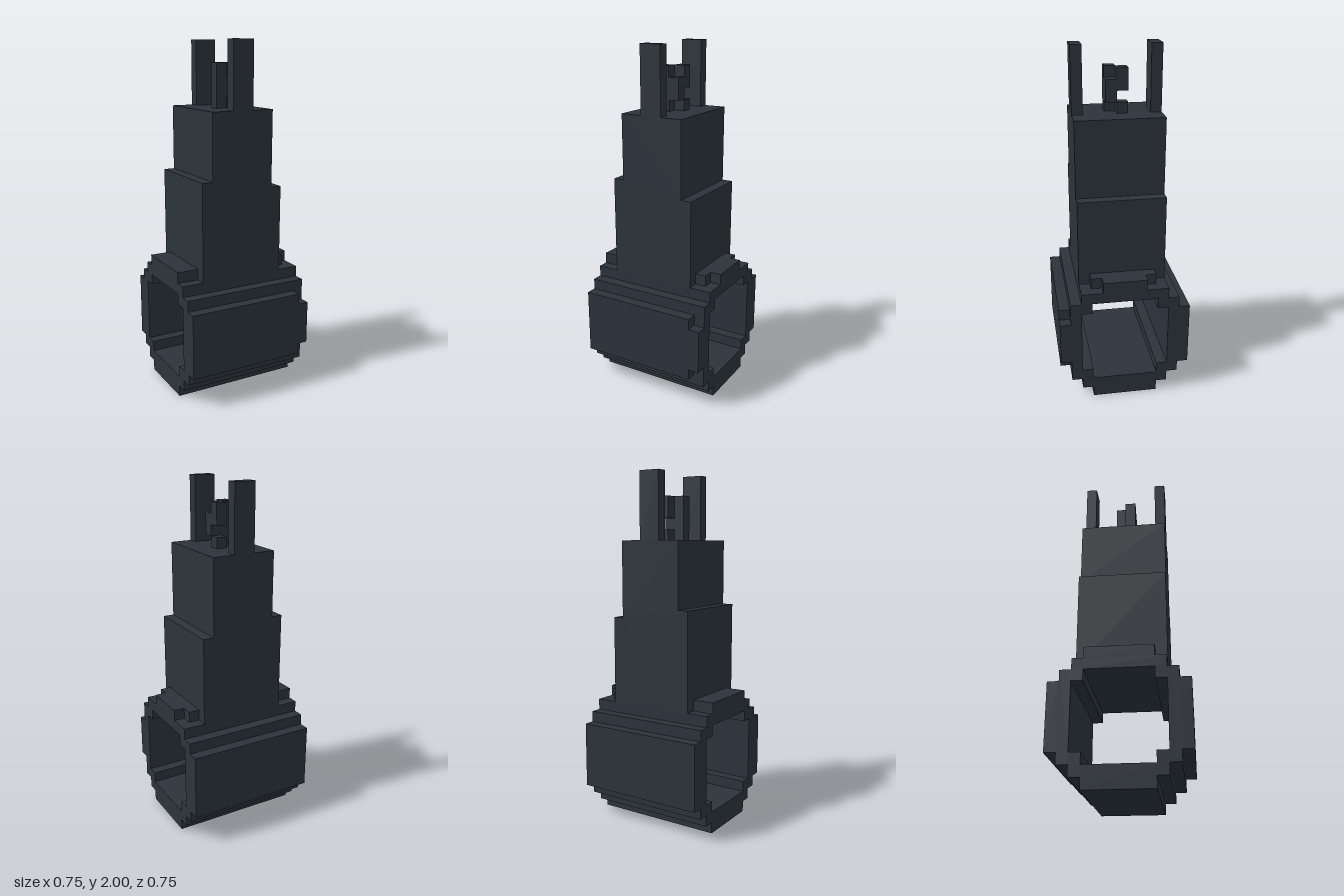
import * as THREE from 'three';

const U = 1 / 16; // one block
const material = new THREE.MeshStandardMaterial({ color: 0x2b333b, flatShading: true });

export function createModel() {
  const model = new THREE.Group();
  model.name = 'blockTower';

  const add = (name, geometry) => {
    geometry.scale(U, U, U);
    const mesh = new THREE.Mesh(geometry, material);
    mesh.name = name;
    model.add(mesh);
  };

  // Box given by its ranges in blocks
  const box = (name, [x0, x1], [y0, y1], [z0, z1]) => {
    const g = new THREE.BoxGeometry(x1 - x0, y1 - y0, z1 - z0);
    g.translate((x0 + x1) / 2, (y0 + y1) / 2, (z0 + z1) / 2);
    add(name, g);
  };

  const points = (list) => list.map(([x, y]) => new THREE.Vector2(x, y));
  // Closes a right-hand half outline by mirroring it
  const mirrored = (half) =>
    points([...half, ...half.map(([x, y]) => [-x, y]).reverse()]);
  // Extrudes an outline along z from z0 to z1
  const plate = (outline, z0, z1, hole) => {
    const shape = new THREE.Shape(outline);
    if (hole) shape.holes.push(new THREE.Path(hole));
    const g = new THREE.ExtrudeGeometry(shape, { depth: z1 - z0, bevelEnabled: false });
    return g.translate(0, 0, z0);
  };

  // Stepped ring, open along x
  const outer = mirrored([[3, 0], [3, 1], [4, 1], [4, 2], [5, 2], [5, 10], [4, 10], [4, 11]]);
  const inner = mirrored([[3, 2], [3, 3], [4, 3], [4, 9], [3, 9], [3, 10]]);
  add('ring', plate(outer, -6, 6, inner).rotateY(Math.PI / 2));

  // Outer ring panels; the front one has two chipped corners
  const chipped = points([[-6, 3], [5, 3], [5, 4], [6, 4], [6, 8], [5, 8], [5, 9], [-6, 9]]);
  add('frontPanel', plate(chipped, 5, 6));
  box('backPanel', [-6, 6], [3, 9], [-6, -5]);

  // Raised shoulders beside the tower
  box('rightShoulder', [-6, -4], [11, 12], [-3, 3]);
  box('leftShoulder', [4, 5], [11, 12], [-3, 3]);
  box('leftShoulderEnd', [5, 6], [11, 12], [-2, 2]);

  // Tower with uneven side steps
  const tower = points([[-4, 11], [4, 11], [4, 19], [3, 19], [3, 26], [-3, 26], [-3, 20], [-4, 20]]);
  add('tower', plate(tower, -4, 4));

  // Prongs at the front and back of the tower top
  box('frontProng', [-1, 1], [26, 32], [3, 4]);
  box('backProng', [-1, 1], [26, 32], [-4, -3]);

  // Small twisted finial between the prongs
  box('finialPost', [-1, 0], [26, 30], [0, 1]);
  box('finialMiddle', [0, 1], [27, 29], [0, 1]);
  box('finialTop', [0, 1], [28, 30], [-1, 0]);
  box('finialFoot', [0, 1], [26, 27], [-1, 0]);

  return model;
}
